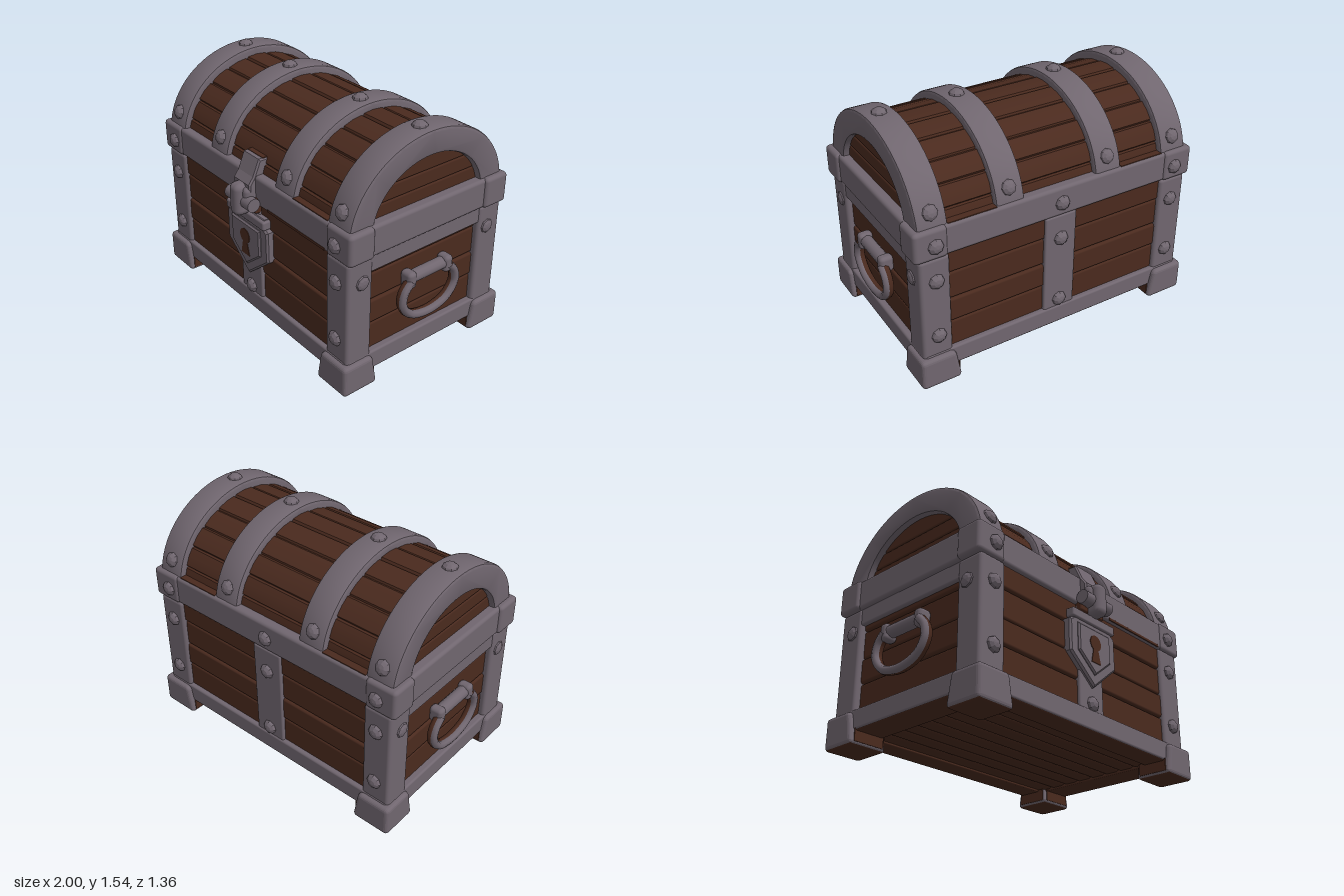
import * as THREE from 'three';
import { RoundedBoxGeometry } from 'three/addons/geometries/RoundedBoxGeometry.js';
import { toCreasedNormals } from 'three/addons/utils/BufferGeometryUtils.js';

const iron = new THREE.MeshStandardMaterial({ color: 0x70666f });
iron.name = 'iron';
const wood = new THREE.MeshStandardMaterial({ color: 0x4a2a1e });
wood.name = 'wood';

export function createModel() {
  const root = new THREE.Group();
  root.name = 'treasureChest';
  const chest = new THREE.Group();
  chest.name = 'chest';
  chest.position.z = -0.038;
  root.add(chest);

  const add = (name, geo, mat, x = 0, y = 0, z = 0, parent = chest) => {
    const m = new THREE.Mesh(geo, mat);
    m.name = name;
    m.position.set(x, y, z);
    parent.add(m);
    return m;
  };
  // rounded box given by its ranges on each axis
  const block = (name, mat, [x0, x1], [y0, y1], [z0, z1], r = 0.018) => {
    const w = x1 - x0, h = y1 - y0, d = z1 - z0;
    return add(name, new RoundedBoxGeometry(w, h, d, 2, Math.min(r, w / 2.1, h / 2.1, d / 2.1)), mat,
      (x0 + x1) / 2, (y0 + y1) / 2, (z0 + z1) / 2);
  };
  // range mirrored to the given side
  const side = (s, a, b) => (s > 0 ? [a, b] : [-b, -a]);

  // ---- body planks, each wrapping all four sides
  block('bodyCore', wood, [-0.88, 0.88], [0.12, 0.95], [-0.555, 0.555]);
  const seams = [0.17, 0.39, 0.55, 0.735, 0.885];
  for (let i = 0; i < 4; i++) {
    const j = (i % 2) * 0.006;
    block('bodyPlank', wood, [-0.902 - j, 0.902 + j], [seams[i] + 0.002, seams[i + 1] - 0.002],
      [-0.576 - j, 0.576 + j], 0.016);
  }

  // ---- underside: frame and lengthwise planks
  for (const s of [-1, 1]) {
    block('underFrameLong', wood, [-0.938, 0.938], [0.086, 0.13], side(s, 0.45, 0.6), 0.008);
    block('underFrameShort', wood, side(s, 0.74, 0.938), [0.086, 0.13], [-0.6, 0.6], 0.008);
  }
  for (let i = 0; i < 8; i++) {
    const z = -0.464 + i * 0.116;
    block('bottomPlank', wood, [-0.76, 0.76], [0.098, 0.16], [z, z + 0.116], 0.025);
  }

  // ---- iron frame: bottom rails, posts, feet, side top rails, centre straps
  const footMaterials = [iron, iron, iron, wood, iron, iron]; // wooden sole
  for (const s of [-1, 1]) {
    block('bottomRailLong', iron, [-0.93, 0.93], [0.09, 0.217], side(s, 0.55, 0.607), 0.014);
    block('bottomRailShort', iron, side(s, 0.88, 0.945), [0.09, 0.217], [-0.59, 0.59], 0.014);
    block('sideTopRail', iron, side(s, 0.86, 0.935), [0.77, 0.88], [-0.55, 0.55], 0.012);
    block('centreStrap', iron, [-0.11, 0.11], [0.17, 0.88], side(s, 0.55, 0.598), 0.012);
    for (const t of [-1, 1]) {
      block('cornerPost', iron, side(s, 0.75, 0.943), [0.15, 0.88], side(t, 0.42, 0.602), 0.022);
      const foot = block('foot', footMaterials, side(s, 0.713, 0.973), [0, 0.205], side(t, 0.39, 0.638), 0.025);
      // feet narrow towards the top
      const p = foot.geometry.attributes.position;
      for (let i = 0; i < p.count; i++) {
        const k = Math.max(0, p.getY(i) / 0.2) * 0.07;
        if (p.getX(i) * s < 0) p.setX(i, p.getX(i) + s * k);
        if (p.getZ(i) * t < 0) p.setZ(i, p.getZ(i) + t * k);
      }
      foot.geometry.computeVertexNormals();
      // wooden inner faces of the foot
      block('footInnerFace', wood, side(s, 0.711, 0.718), [0.02, 0.1], side(t, 0.41, 0.61), 0.002);
      block('footInnerFace', wood, side(s, 0.735, 0.945), [0.02, 0.1], side(t, 0.388, 0.395), 0.002);
    }
  }

  // ---- lid rim with heavier corners
  block('lidRim', iron, [-0.955, 0.955], [0.878, 1.072], [-0.602, 0.602], 0.022);
  block('rimUnderEdge', wood, [0.2, 0.74], [0.882, 0.9], [0.597, 0.604], 0.002);
  for (const s of [-1, 1]) for (const t of [-1, 1]) {
    block('rimCorner', iron, side(s, 0.76, 0.972), [0.876, 1.075], side(t, 0.43, 0.612), 0.025);
    // wooden ledge on the rim between the bands
    if (s > 0 || t < 0)
      block('rimLedge', wood, side(s, 0.435, 0.748), [1.068, 1.075], side(t, 0.54, 0.588), 0.002);
  }

  // ---- barrel lid: profile in z/y swept along x
  const baseY = 1.0;
  const sweep = (name, shape, mat, x, width, bevel) => {
    const geo = new THREE.ExtrudeGeometry(shape, {
      depth: width - 2 * bevel, curveSegments: 32, bevelEnabled: bevel > 0,
      bevelSize: bevel, bevelThickness: bevel, bevelOffset: -bevel, bevelSegments: 2,
    });
    geo.translate(0, 0, -(width - 2 * bevel) / 2);
    geo.rotateY(Math.PI / 2);
    return add(name, toCreasedNormals(geo, 0.5), mat, x, baseY, 0);
  };
  const planks = 11, profile = [];
  for (let i = 0; i < planks; i++) {
    const lift = 0.995 + 0.01 * ((i * 7) % 3) / 2;
    for (const [f, r] of [[0, 0.975], [0.07, lift], [0.5, lift + 0.006], [0.93, lift]]) {
      const a = ((i + f) / planks) * Math.PI;
      profile.push(new THREE.Vector2(Math.cos(a) * 0.55 * r, Math.sin(a) * 0.454 * r));
    }
  }
  profile.push(new THREE.Vector2(-0.535, 0));
  sweep('lidPlanks', new THREE.Shape(profile), wood, 0, 1.75, 0);

  const arch = (a, b, ai, bi) => {
    const s = new THREE.Shape();
    s.absellipse(0, 0, a, b, 0, Math.PI, false, 0);
    s.lineTo(-ai, 0);
    s.absellipse(0, 0, ai, bi, Math.PI, 0, true, 0);
    s.closePath();
    return s;
  };
  for (const s of [-1, 1]) {
    sweep('endArch', arch(0.59, 0.51, 0.418, 0.355), iron, s * 0.84, 0.19, 0.018);
    sweep('lidBand', arch(0.588, 0.505, 0.5, 0.41), iron, s * 0.343, 0.187, 0.018);
    // end panel boards
    for (const [y0, y1, h] of [[1.04, 1.15, 0.44], [1.15, 1.245, 0.4], [1.245, 1.37, 0.335]])
      block('lidEndBoard', wood, side(s, 0.84, 0.893), [y0, y1], [-h, h], 0.012);
  }

  // ---- rivets
  const dome = new THREE.SphereGeometry(0.05, 8, 3, 0, Math.PI * 2, 0, Math.PI / 2).toNonIndexed();
  dome.scale(1, 0.72, 1);
  dome.computeVertexNormals();
  const up = new THREE.Vector3(0, 1, 0);
  const rivet = (x, y, z, nx, ny, nz, height = 1) => {
    const m = add('rivet', dome, iron, x, y, z);
    m.quaternion.setFromUnitVectors(up, new THREE.Vector3(nx, ny, nz).normalize());
    m.scale.y = height;
  };
  for (const s of [-1, 1]) {
    for (const t of [-1, 1]) {
      for (const y of [0.345, 0.728]) rivet(s * 0.84, y, t * 0.598, 0, 0, t);
      rivet(s * 0.84, 0.967, t * 0.608, 0, 0, t);
      rivet(s * 0.84, 1.155, t * 0.556, 0, 0.38, t);
      rivet(s * 0.343, 1.155, t * 0.552, 0, 0.38, t);
      rivet(s * 0.94, 0.73, t * 0.495, s, 0, 0, 0.6);
    }
    rivet(s * 0.84, 1.503, 0.02, 0, 1, 0);
    rivet(s * 0.343, 1.5, 0.02, 0, 1, 0);
  }
  rivet(0, 0.255, 0.595, 0, 0, 1);
  rivet(0, 0.27, -0.595, 0, 0, -1);
  rivet(0, 0.72, -0.595, 0, 0, -1);
  rivet(0, 0.967, -0.6, 0, 0, -1);

  // ---- side handles: iron ring with a wooden backing
  const ring = [[0.15, 0.61], [0.2, 0.55], [0.21, 0.47], [0.15, 0.385], [0.05, 0.35]];
  const path = [...ring, ...ring.slice().reverse().map(([z, y]) => [-z, y])];
  for (const s of [-1, 1]) {
    const handle = new THREE.Group();
    handle.name = 'sideHandle';
    chest.add(handle);
    for (const [name, mat, x, r] of [['handleRing', iron, 0.974, 0.026], ['handleRingBack', wood, 0.959, 0.028]]) {
      const curve = new THREE.CatmullRomCurve3(path.map(([z, y]) => new THREE.Vector3(s * x, y, z)));
      add(name, new THREE.TubeGeometry(curve, 40, r, 8), mat, 0, 0, 0, handle);
    }
    const bar = add('handleBar', new THREE.CylinderGeometry(0.04, 0.04, 0.3, 12), iron, s * 0.945, 0.62, 0, handle);
    bar.rotation.x = Math.PI / 2;
    for (const t of [-1, 1])
      add('handleKnob', new RoundedBoxGeometry(0.09, 0.11, 0.065, 2, 0.025), iron, s * 0.945, 0.615, t * 0.145, handle);
  }

  // ---- lock: shield plate, raised face, keyhole
  const polygon = (points) => new THREE.Shape(points.map(([x, y]) => new THREE.Vector2(x, y)));
  const plate = (name, shape, mat, y, z, depth, bevel) => {
    const geo = new THREE.ExtrudeGeometry(shape, {
      depth, bevelEnabled: bevel > 0, bevelSize: bevel, bevelThickness: bevel, bevelOffset: -bevel,
      bevelSegments: 1, curveSegments: 10,
    });
    add(name, geo, mat, 0, y, z);
  };
  plate('lockPlate', polygon([[0.18, 0.22], [-0.18, 0.22], [-0.18, 0.16], [-0.215, 0.14], [-0.215, -0.07],
    [0, -0.245], [0.215, -0.07], [0.215, 0.14], [0.18, 0.16]]), iron, 0.6, 0.56, 0.05, 0.012);
  plate('lockFace', polygon([[-0.15, -0.05], [0, -0.17], [0.15, -0.05], [0.15, 0.13], [-0.15, 0.13]]),
    iron, 0.6, 0.6, 0.026, 0.01);
  block('lockTop', iron, [-0.2, 0.2], [0.755, 0.815], [0.56, 0.637], 0.012);
  const hole = new THREE.Shape();
  hole.absarc(0, 0.036, 0.05, -Math.PI * 0.35, Math.PI * 1.35, false);
  hole.lineTo(-0.043, -0.095);
  hole.lineTo(0.043, -0.095);
  hole.closePath();
  plate('keyhole', hole, wood, 0.6, 0.634, 0.006, 0);

  // ---- hasp leaning on the lid and bending over the rim
  const strap = new THREE.ExtrudeGeometry(polygon([[-0.47, 1.17], [-0.47, 0.92], [-0.645, 0.92],
    [-0.645, 1.02], [-0.612, 1.065], [-0.567, 1.17]].reverse()), {
    depth: 0.15, bevelThickness: 0.01, bevelSize: 0.01, bevelOffset: -0.01, bevelSegments: 1,
  });
  strap.translate(0, 0, -0.075);
  strap.rotateY(Math.PI / 2);
  add('haspStrap', strap, iron);
  block('haspStrapTop', wood, [-0.078, 0.078], [1.166, 1.173], [0.482, 0.54], 0.002);
  block('haspShoulder', iron, [-0.085, 0.085], [0.86, 1.0], [0.58, 0.672], 0.03);
  block('haspLoop', iron, [-0.05, 0.05], [0.805, 1.02], [0.6, 0.715], 0.04);
  const pin = add('haspPin', new THREE.CylinderGeometry(0.045, 0.045, 0.25, 12), iron, 0, 0.905, 0.645);
  pin.rotation.z = Math.PI / 2;
  block('haspCatch', wood, [-0.11, 0.11], [0.83, 0.93], [0.56, 0.625], 0.012);

  return root;
}
